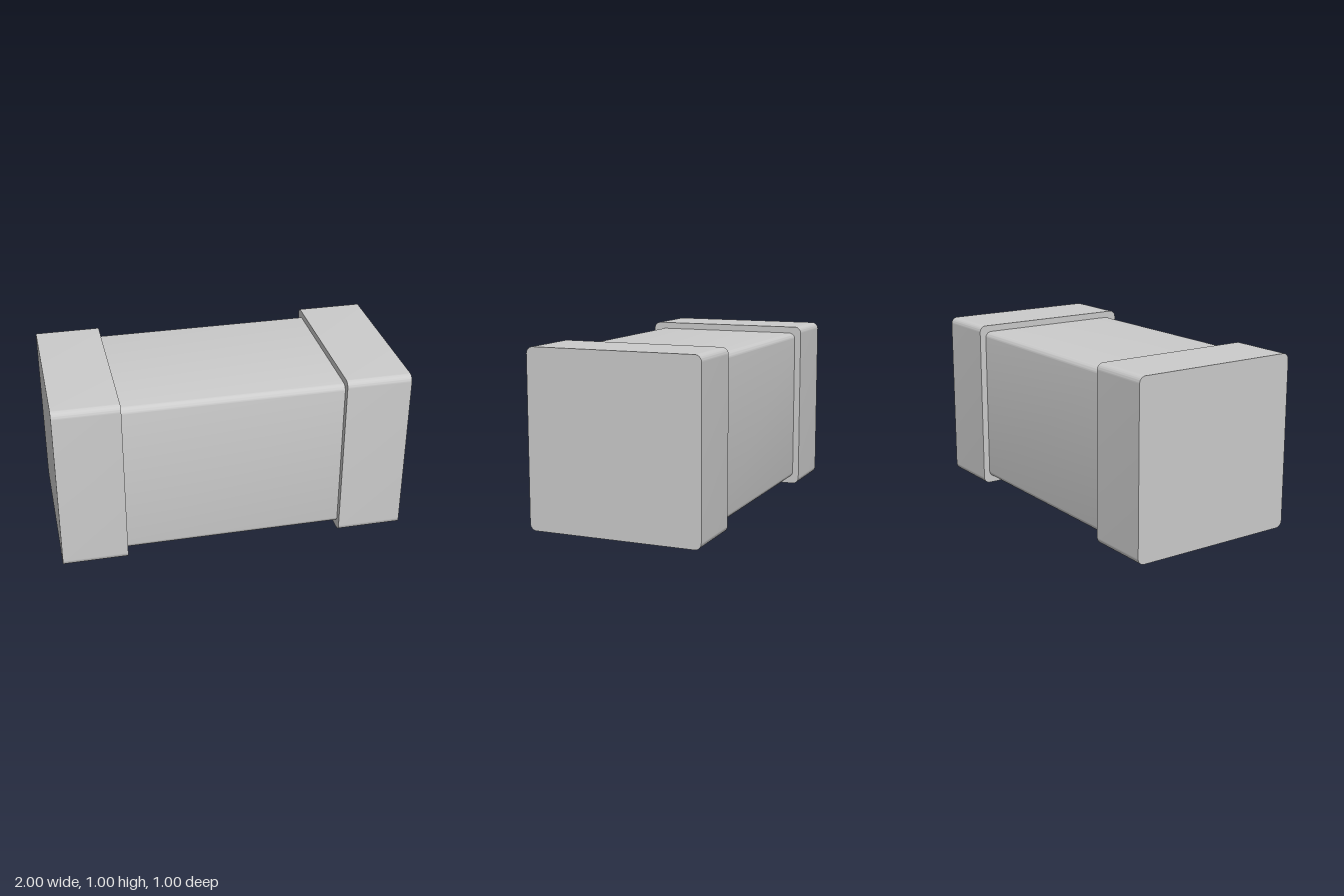
import * as THREE from 'three';
import { toCreasedNormals } from 'three/addons/utils/BufferGeometryUtils.js';

const material = new THREE.MeshStandardMaterial({ color: 0xcccccc });

// Square bar along x with rounded long edges and sharp flat ends
function roundedBar(name, half, radius, length, x) {
  const inner = half - radius;
  const shape = new THREE.Shape();
  shape.absarc(inner, inner, radius, 0, Math.PI / 2);
  shape.absarc(-inner, inner, radius, Math.PI / 2, Math.PI);
  shape.absarc(-inner, -inner, radius, Math.PI, Math.PI * 1.5);
  shape.absarc(inner, -inner, radius, Math.PI * 1.5, Math.PI * 2);
  shape.closePath();

  const bar = new THREE.ExtrudeGeometry(shape, { depth: length, bevelEnabled: false, curveSegments: 10 });
  bar.translate(0, 0, -length / 2).rotateY(Math.PI / 2);
  const mesh = new THREE.Mesh(toCreasedNormals(bar, 0.5), material);
  mesh.name = name;
  mesh.position.set(x, 0.5, 0);
  return mesh;
}

export function createModel() {
  const group = new THREE.Group();
  group.name = 'chipComponent';

  const capInner = 0.627;
  const capLength = 1 - capInner;

  // Central body
  group.add(roundedBar('body', 0.462, 0.038, capInner * 2, 0));

  // Slightly larger terminal cap at each end
  for (const [name, side] of [['leftEndCap', 1], ['rightEndCap', -1]]) {
    group.add(roundedBar(name, 0.5, 0.038, capLength, side * (capInner + capLength / 2)));
  }
  return group;
}
